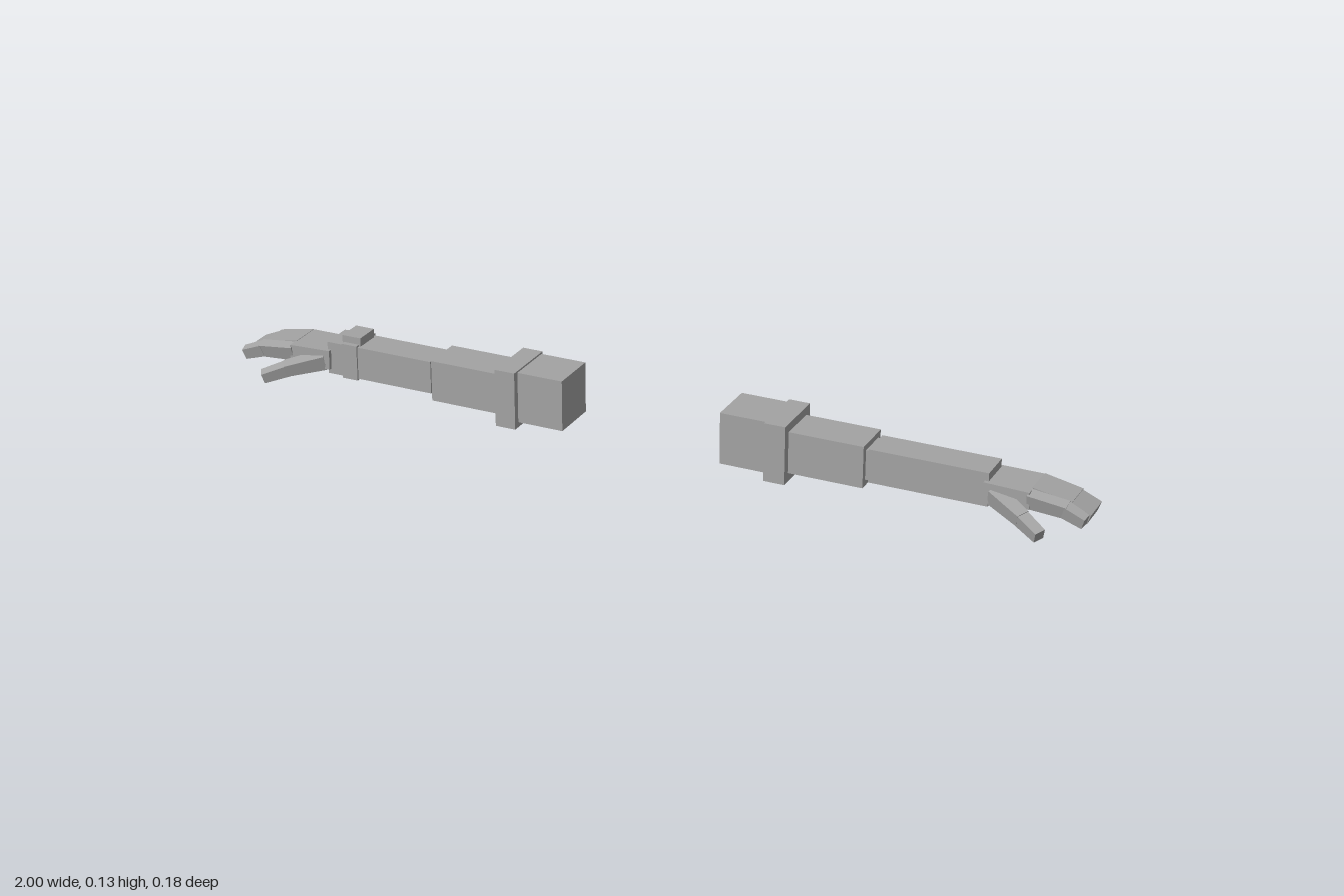
import * as THREE from 'three';

const gray = new THREE.MeshStandardMaterial({ color: 0xa3a3a3 });
gray.name = 'matte gray';

// Axis-aligned block given by its limits along the arm (mirrored by side), in height and in depth
function block(parent, name, side, [x0, x1], [y0, y1], [z0, z1]) {
  const mesh = new THREE.Mesh(new THREE.BoxGeometry(x1 - x0, y1 - y0, z1 - z0), gray);
  mesh.position.set(side * (x0 + x1) / 2, (y0 + y1) / 2, (z0 + z1) / 2);
  mesh.name = name;
  parent.add(mesh);
}

// Tapered bone from a to b; `across` is the direction of its width, sizes are [height, width]
function bone(parent, name, side, a, b, sizeA, sizeB, across = [0, 0, 1]) {
  const start = new THREE.Vector3(side * a[0], a[1], a[2]);
  const end = new THREE.Vector3(side * b[0], b[1], b[2]);
  const X = end.clone().sub(start);
  const length = X.length();
  X.normalize();
  const Y = new THREE.Vector3(side * across[0], across[1], across[2]).cross(X).normalize();
  const Z = X.clone().cross(Y);

  const geometry = new THREE.BoxGeometry(length, 1, 1);
  const p = geometry.attributes.position;
  for (let i = 0; i < p.count; i++) {
    const [h, w] = p.getX(i) > 0 ? sizeB : sizeA;
    p.setY(i, p.getY(i) * h);
    p.setZ(i, p.getZ(i) * w);
  }
  geometry.applyMatrix4(new THREE.Matrix4().makeBasis(X, Y, Z));
  geometry.computeVertexNormals();
  const mesh = new THREE.Mesh(geometry, gray);
  mesh.position.copy(start.add(end).multiplyScalar(0.5));
  mesh.name = name;
  parent.add(mesh);
}

function makeHand(side) {
  const hand = new THREE.Group();
  hand.name = 'hand';
  bone(hand, 'palm', side, [0.775, 0.068, -0.024], [0.875, 0.07, -0.024], [0.046, 0.094], [0.038, 0.1]);
  // Joined outer fingers
  bone(hand, 'outerFingers', side, [0.87, 0.073, -0.037], [0.955, 0.06, -0.036], [0.034, 0.076], [0.028, 0.073]);
  bone(hand, 'outerFingertips', side, [0.95, 0.06, -0.034], [0.995, 0.043, -0.034], [0.028, 0.072], [0.024, 0.07]);
  // Index finger, rolled outward a little
  const roll = [0, -0.25, 1];
  bone(hand, 'indexFinger', side, [0.87, 0.07, 0.014], [0.955, 0.064, 0.018], [0.034, 0.026], [0.029, 0.026], roll);
  bone(hand, 'indexFingertip', side, [0.95, 0.064, 0.019], [0.995, 0.049, 0.025], [0.029, 0.025], [0.025, 0.022], roll);
  // Thumb, pointing forward and down
  const thumbRoll = [-0.5, -0.2, 1];
  bone(hand, 'thumbBase', side, [0.795, 0.062, 0.01], [0.872, 0.043, 0.055], [0.035, 0.035], [0.028, 0.029], thumbRoll);
  bone(hand, 'thumbTip', side, [0.868, 0.043, 0.053], [0.917, 0.025, 0.079], [0.028, 0.028], [0.024, 0.025], thumbRoll);
  return hand;
}

function makeArm(side) {
  const arm = new THREE.Group();
  arm.name = side > 0 ? 'leftArm' : 'rightArm';
  block(arm, 'upperArm', side, [0.187, 0.335], [0.014, 0.132], [-0.086, 0.028]);
  block(arm, 'sleeveCuff', side, [0.295, 0.343], [0.002, 0.136], [-0.091, 0.043]);
  block(arm, 'elbow', side, [0.335, 0.512], [0.022, 0.117], [-0.072, 0.024]);
  block(arm, 'elbowJoint', side, [0.505, 0.525], [0.036, 0.104], [-0.058, 0.01]);
  block(arm, 'forearm', side, [0.52, 0.783], [0.033, 0.109], [-0.063, 0.014]);
  arm.add(makeHand(side));
  return arm;
}

export function createModel() {
  const model = new THREE.Group();
  model.name = 'arms';
  for (const side of [1, -1]) model.add(makeArm(side));

  // Wristwatch on the right wrist only
  const watch = new THREE.Group();
  watch.name = 'wristwatch';
  block(watch, 'watchBand', -1, [0.706, 0.744], [0.03, 0.113], [-0.067, 0.018]);
  block(watch, 'watchCase', -1, [0.702, 0.748], [0.108, 0.129], [-0.054, 0.006]);
  model.add(watch);
  return model;
}
